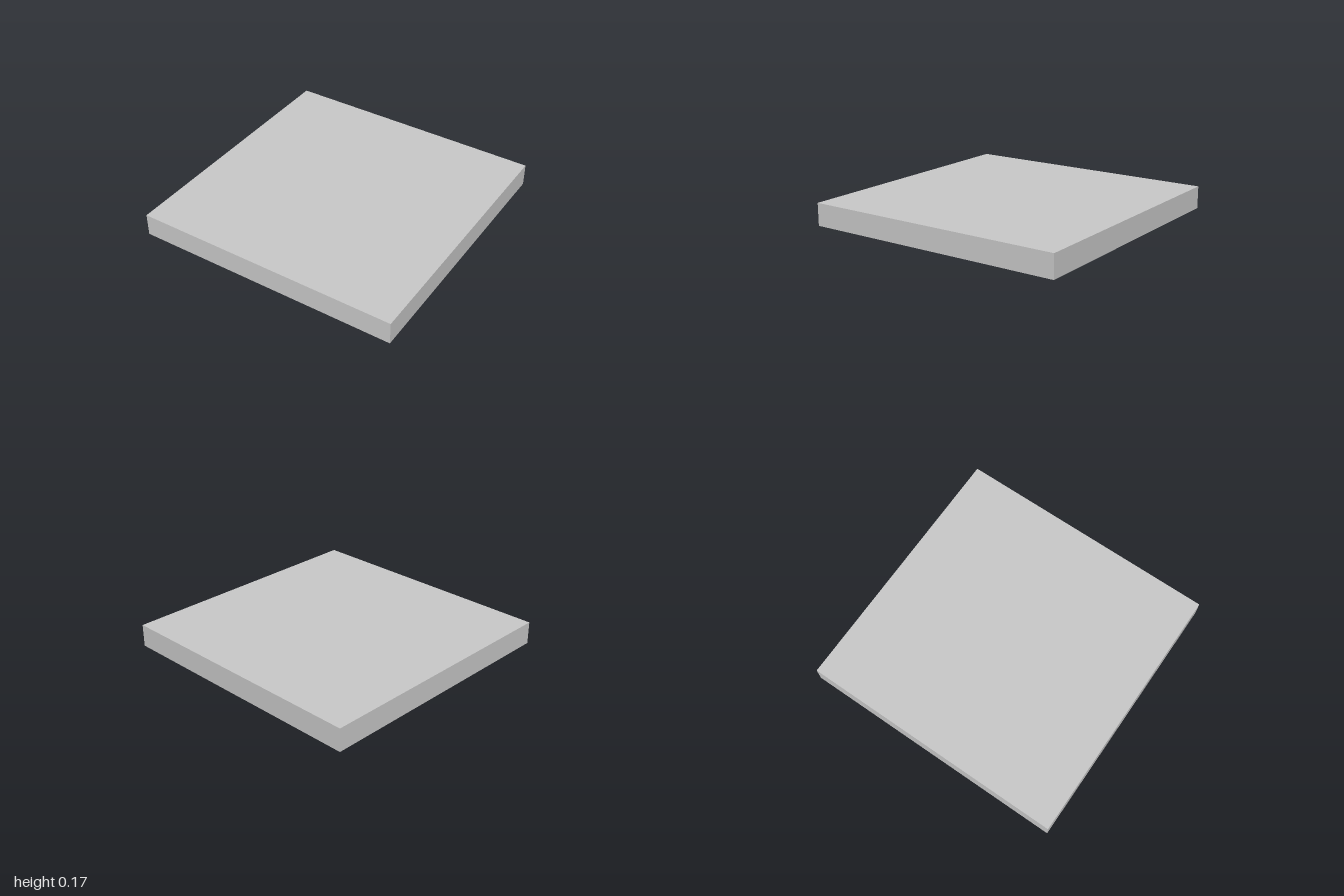
import * as THREE from 'three';

const CORNERS = [[-1, -1], [-1, 1], [1, 1], [1, -1]];

// Rectangular rings [halfX, halfZ, y] joined in order; optional flat caps at either end
function loft(rings, capStart, capEnd) {
  const pos = [];
  const pts = rings.map(([hx, hz, y]) => CORNERS.map(([sx, sz]) => [sx * hx, y, sz * hz]));
  const quad = (a, b, c, d) => pos.push(...a, ...b, ...c, ...a, ...c, ...d);
  for (let i = 0; i < pts.length - 1; i++) {
    for (let k = 0; k < 4; k++) {
      const n = (k + 1) % 4;
      quad(pts[i][k], pts[i + 1][k], pts[i + 1][n], pts[i][n]);
    }
  }
  if (capStart) quad(...pts[0]);
  if (capEnd) quad(...[...pts[pts.length - 1]].reverse());
  const g = new THREE.BufferGeometry();
  g.setAttribute('position', new THREE.Float32BufferAttribute(pos, 3));
  g.computeVertexNormals();
  return g;
}

function material(name, color) {
  const m = new THREE.MeshStandardMaterial({ color });
  m.name = name;
  return m;
}

export function createModel() {
  const group = new THREE.Group();
  group.name = 'ceilingPanel';

  const add = (name, geometry, mat) => {
    const mesh = new THREE.Mesh(geometry, mat);
    mesh.name = name;
    group.add(mesh);
  };

  // Slab with a bevelled opening in its underside
  add('slab', loft([[1, 1, 0.17], [1, 1, 0], [0.72, 0.72, 0], [0.615, 0.615, 0.075]], true, false),
    material('light grey', 0xc8c8c8));

  // Dark ceiling of the recess
  add('recessPanel', loft([[0.615, 0.615, 0.075]], false, true), material('dark grey', 0x787878));

  // Truncated pyramid hanging from the recess
  add('lampCover', loft([[0.37, 0.44, 0.075], [0.18, 0.22, 0.02]], false, true),
    material('pale grey', 0xdedede));

  return group;
}
